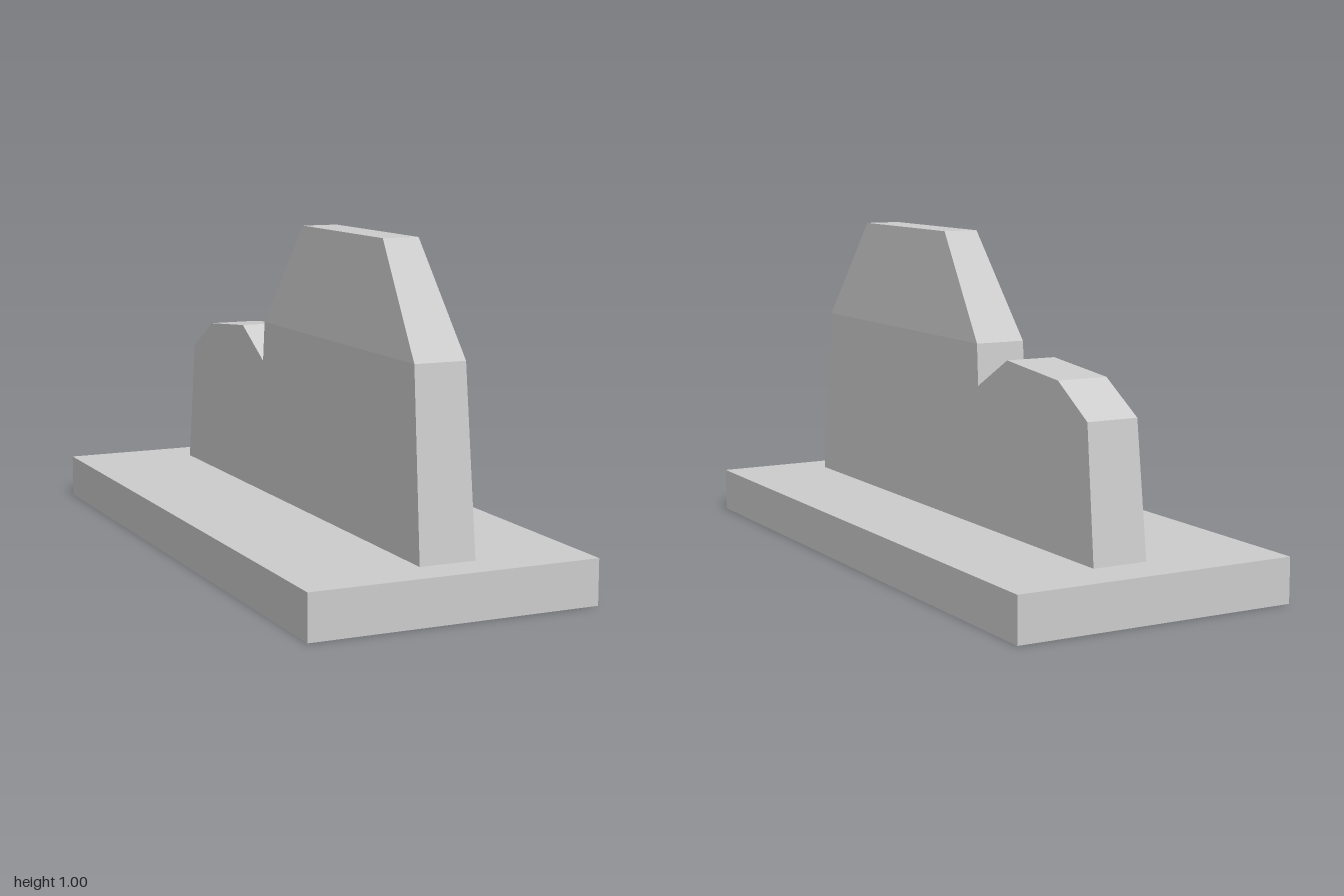
import * as THREE from 'three';

const material = new THREE.MeshStandardMaterial({ color: 0xcccccc, flatShading: true });
const BASE_TOP = 0.135;
const SHOULDER = 0.68;

// Half thickness of the fin: slight taper to the shoulder, stronger above it
function halfWidth(y) {
  return y <= SHOULDER
    ? THREE.MathUtils.mapLinear(y, BASE_TOP, SHOULDER, 0.086, 0.079)
    : THREE.MathUtils.mapLinear(y, SHOULDER, 1, 0.079, 0.056);
}

// Side profile given as [z, y], extruded across x and tapered with height
function taperedFin(name, profile) {
  const shape = new THREE.Shape(profile.map(([z, y]) => new THREE.Vector2(z, y)));
  const geometry = new THREE.ExtrudeGeometry(shape, { depth: 1, bevelEnabled: false });
  geometry.translate(0, 0, -0.5).rotateY(-Math.PI / 2);
  const p = geometry.attributes.position;
  for (let i = 0; i < p.count; i++) {
    p.setX(i, 0.03 + p.getX(i) * 2 * halfWidth(p.getY(i)));
  }
  geometry.computeVertexNormals();
  const mesh = new THREE.Mesh(geometry, material);
  mesh.name = name;
  return mesh;
}

export function createModel() {
  const model = new THREE.Group();
  model.name = 'finOnBase';

  // Flat rectangular base
  const base = new THREE.Mesh(new THREE.BoxGeometry(0.88, BASE_TOP, 2), material);
  base.position.y = BASE_TOP / 2;
  base.name = 'base';
  model.add(base);

  // Lower fin with the notch and the low rear hump
  model.add(taperedFin('lowerFin', [
    [0.885, BASE_TOP], [0.83, SHOULDER], [-0.195, SHOULDER], [-0.205, 0.555],
    [-0.375, 0.65], [-0.655, 0.625], [-0.81, 0.53], [-0.855, BASE_TOP],
  ]));

  // Sloped front peak
  model.add(taperedFin('upperFin', [
    [0.83, SHOULDER], [0.59, 1], [0.05, 1], [-0.195, SHOULDER],
  ]));

  return model;
}
